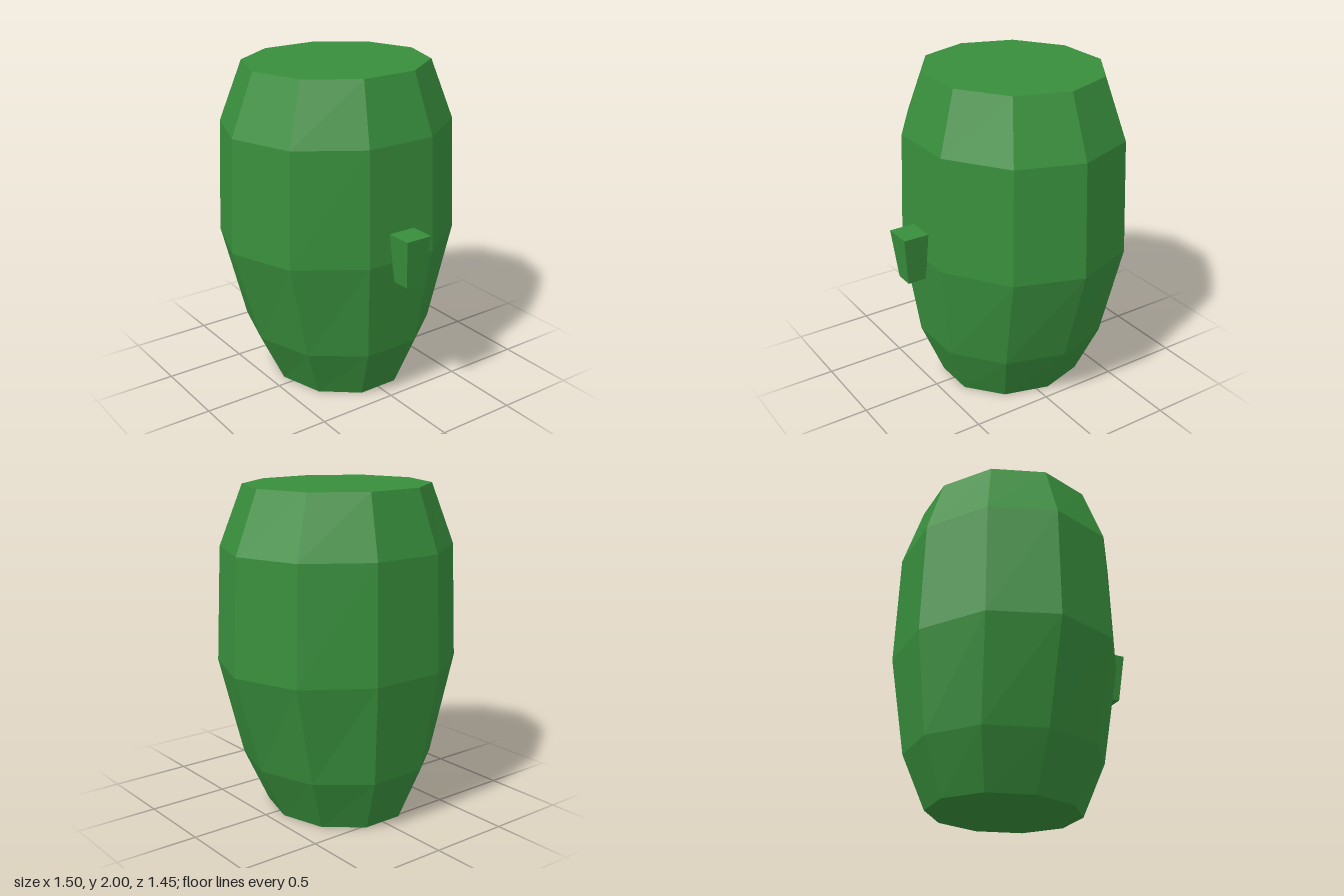
import * as THREE from 'three';

export function createModel() {
  const model = new THREE.Group();
  const green = new THREE.MeshStandardMaterial({ color: 0x388e3c, flatShading: true });

  // Ten-sided barrel: rings of [height, half width in x, half depth in z], bottom to top
  const rings = [
    [0, 0.415, 0.467],
    [0.33, 0.575, 0.602],
    [0.94, 0.75, 0.683],
    [1.635, 0.72, 0.658],
    [2, 0.573, 0.536],
  ];
  const barrelGeometry = new THREE.CylinderGeometry(1, 1, 4, 10, 4, false, Math.PI / 10);
  const position = barrelGeometry.attributes.position;
  for (let i = 0; i < position.count; i++) {
    const [y, rx, rz] = rings[Math.round(position.getY(i) + 2)];
    position.setXYZ(i, position.getX(i) * rx, y, position.getZ(i) * rz);
  }
  barrelGeometry.computeVertexNormals();
  const barrel = new THREE.Mesh(barrelGeometry, green);
  barrel.name = 'barrel';
  barrel.position.z = -0.075;
  model.add(barrel);

  // Small square tapered tap on the front
  const tapGeometry = new THREE.CylinderGeometry(0.087 * Math.SQRT2, 0.056 * Math.SQRT2, 0.3, 4, 1, false, Math.PI / 4);
  const tap = new THREE.Mesh(tapGeometry, green);
  tap.name = 'tap';
  tap.position.set(0, 0.97, 0.639);
  model.add(tap);

  return model;
}
